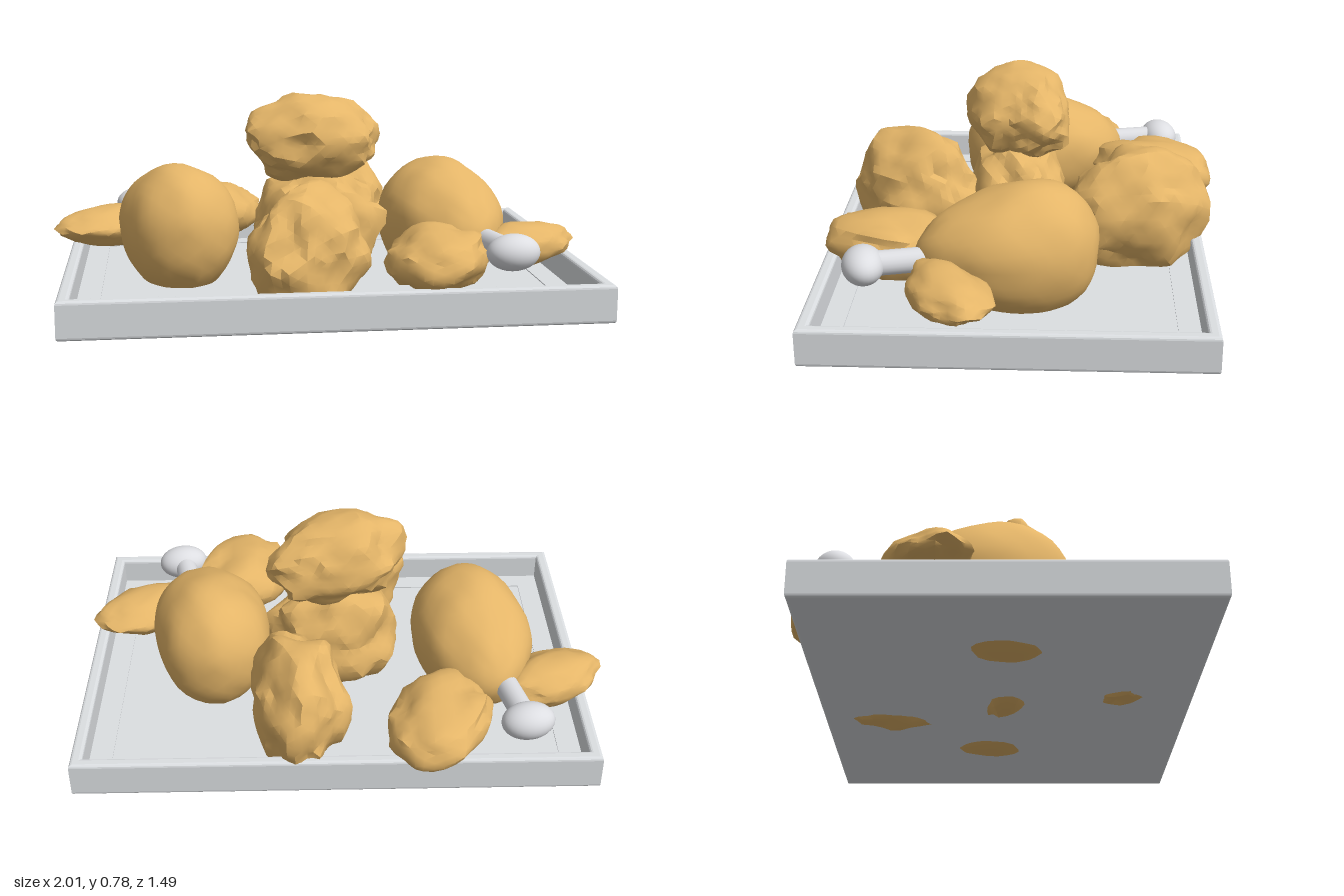
import * as THREE from 'three';
import { toCreasedNormals } from 'three/addons/utils/BufferGeometryUtils.js';

const roast = new THREE.MeshStandardMaterial({ name: 'golden roast', color: 0xe4b568 });
const metal = new THREE.MeshStandardMaterial({ name: 'tray grey', color: 0xdcdfe2 });
const bone = new THREE.MeshStandardMaterial({ name: 'bone white', color: 0xdddee2 });

// Smooth value noise in -1..1
function hash(x, y, z) {
  const s = Math.sin(x * 127.1 + y * 311.7 + z * 74.7) * 43758.5453;
  return (s - Math.floor(s)) * 2 - 1;
}
function noise(x, y, z) {
  const c = [x, y, z].map(Math.floor);
  const f = [x - c[0], y - c[1], z - c[2]].map((t) => t * t * (3 - 2 * t));
  let sum = 0;
  for (let i = 0; i < 8; i++) {
    const b = [i & 1, (i >> 1) & 1, i >> 2];
    const w = b.reduce((p, on, k) => p * (on ? f[k] : 1 - f[k]), 1);
    sum += w * hash(c[0] + b[0], c[1] + b[1], c[2] + b[2]);
  }
  return sum;
}

// Lumpy ellipsoid, long axis along local z, narrowing towards +z by taper [width, height]
function lump(name, pos, radii, yaw, { rough = 0.03, taper = [0, 0], seed = 1, detail = 7, crease = 0.7 } = {}) {
  const geo = new THREE.IcosahedronGeometry(1, detail);
  const p = geo.attributes.position;
  const v = new THREE.Vector3();
  const at = (k) => noise(v.x * k + seed * 7.3, v.y * k + seed * 3.1, v.z * k + seed * 5.7);
  for (let i = 0; i < p.count; i++) {
    v.fromBufferAttribute(p, i);
    v.set(...v.toArray().map((n) => Math.round(n * 1e5) / 1e5));
    const s = 1 + rough * (at(2.1) + 0.45 * at(4.2) - 0.5 * Math.abs(at(3.1)));
    p.setXYZ(
      i,
      v.x * s * (1 - taper[0] * v.z) * radii[0],
      v.y * s * (1 - taper[1] * v.z) * radii[1],
      v.z * s * radii[2],
    );
  }
  const mesh = new THREE.Mesh(toCreasedNormals(geo, crease), roast);
  mesh.name = name;
  mesh.position.set(...pos);
  mesh.rotation.y = yaw;
  return mesh;
}

function rect(path, w, d) {
  return path.moveTo(-w, -d).lineTo(w, -d).lineTo(w, d).lineTo(-w, d).closePath();
}

function makeTray() {
  const tray = new THREE.Group();
  tray.name = 'tray';
  tray.position.set(0.03, 0, 0.025);
  // Raised rim with a small bevel
  const shape = rect(new THREE.Shape(), 0.953, 0.693);
  shape.holes.push(rect(new THREE.Path(), 0.932, 0.672));
  const rimGeo = new THREE.ExtrudeGeometry(shape, {
    depth: 0.114, bevelEnabled: true, bevelSize: 0.012, bevelThickness: 0.012, bevelSegments: 3,
  });
  rimGeo.rotateX(-Math.PI / 2);
  const rim = new THREE.Mesh(rimGeo, metal);
  rim.name = 'trayRim';
  rim.position.y = 0.045;
  const floor = new THREE.Mesh(new THREE.BoxGeometry(1.9, 0.03, 1.38), metal);
  floor.name = 'trayFloor';
  floor.position.y = 0.048;
  // Shallow ledge around the floor
  const ledgeShape = rect(new THREE.Shape(), 0.935, 0.675);
  ledgeShape.holes.push(rect(new THREE.Path(), 0.835, 0.58));
  const ledgeGeo = new THREE.ExtrudeGeometry(ledgeShape, { depth: 0.006, bevelEnabled: false });
  ledgeGeo.rotateX(-Math.PI / 2);
  const ledge = new THREE.Mesh(ledgeGeo, metal);
  ledge.name = 'trayLedge';
  ledge.position.y = 0.061;
  tray.add(rim, floor, ledge);
  return tray;
}

// Rounded joint with two flat pieces and a protruding bone
function makeJoint(name, flatX, flatZ, flatYaw) {
  const g = new THREE.Group();
  g.name = name;
  g.add(
    lump('thigh', [0.52, 0.26, 0.045], [0.228, 0.24, 0.335], 0.2,
      { rough: 0.035, taper: [0.1, 0.3], seed: 2, crease: 1 }),
    lump('flatPiece', [flatX, 0.225, flatZ], [0.185, 0.115, 0.26], flatYaw, { rough: 0.14, seed: 5, detail: 5 }),
    lump('sidePiece', [0.8, 0.22, 0.24], [0.135, 0.08, 0.215], 2.1,
      { rough: 0.12, taper: [-0.15, 0.15], seed: 8, detail: 5 }),
  );
  const a = new THREE.Vector3(0.595, 0.255, 0.25);
  const b = new THREE.Vector3(0.665, 0.255, 0.54);
  const shaft = new THREE.Mesh(new THREE.TubeGeometry(new THREE.LineCurve3(a, b), 1, 0.045, 20), bone);
  shaft.name = 'boneShaft';
  const knob = new THREE.Mesh(new THREE.SphereGeometry(1, 28, 18), bone);
  knob.name = 'boneKnob';
  knob.scale.set(0.1, 0.067, 0.075);
  knob.position.set(0.67, 0.255, 0.545);
  knob.rotation.y = 0.2;
  g.add(shaft, knob);
  return g;
}

export function createModel() {
  const model = new THREE.Group();
  model.name = 'roastPlatter';
  const right = makeJoint('frontJoint', 0.415, 0.475, Math.PI - 0.4);
  const left = makeJoint('backJoint', 0.36, 0.49, Math.PI - 0.45);
  left.rotation.y = Math.PI;
  left.position.z = -0.015;
  model.add(makeTray(), right, left);

  // Rugged chunks down the middle, one stacked on top
  const rugged = { rough: 0.16, detail: 7, crease: 0.5 };
  model.add(
    lump('frontChunk', [-0.055, 0.255, 0.44], [0.185, 0.228, 0.27], 2.5, { ...rugged, seed: 3 }),
    lump('backChunk', [0.165, 0.26, -0.42], [0.175, 0.243, 0.275], 0.12, { ...rugged, seed: 4 }),
    lump('middleChunk', [0.02, 0.25, 0.02], [0.19, 0.24, 0.26], 1.75, { ...rugged, seed: 6 }),
    lump('topChunk', [0.015, 0.605, 0.02], [0.185, 0.175, 0.28], 1.9, { ...rugged, seed: 9 }),
  );
  return model;
}
